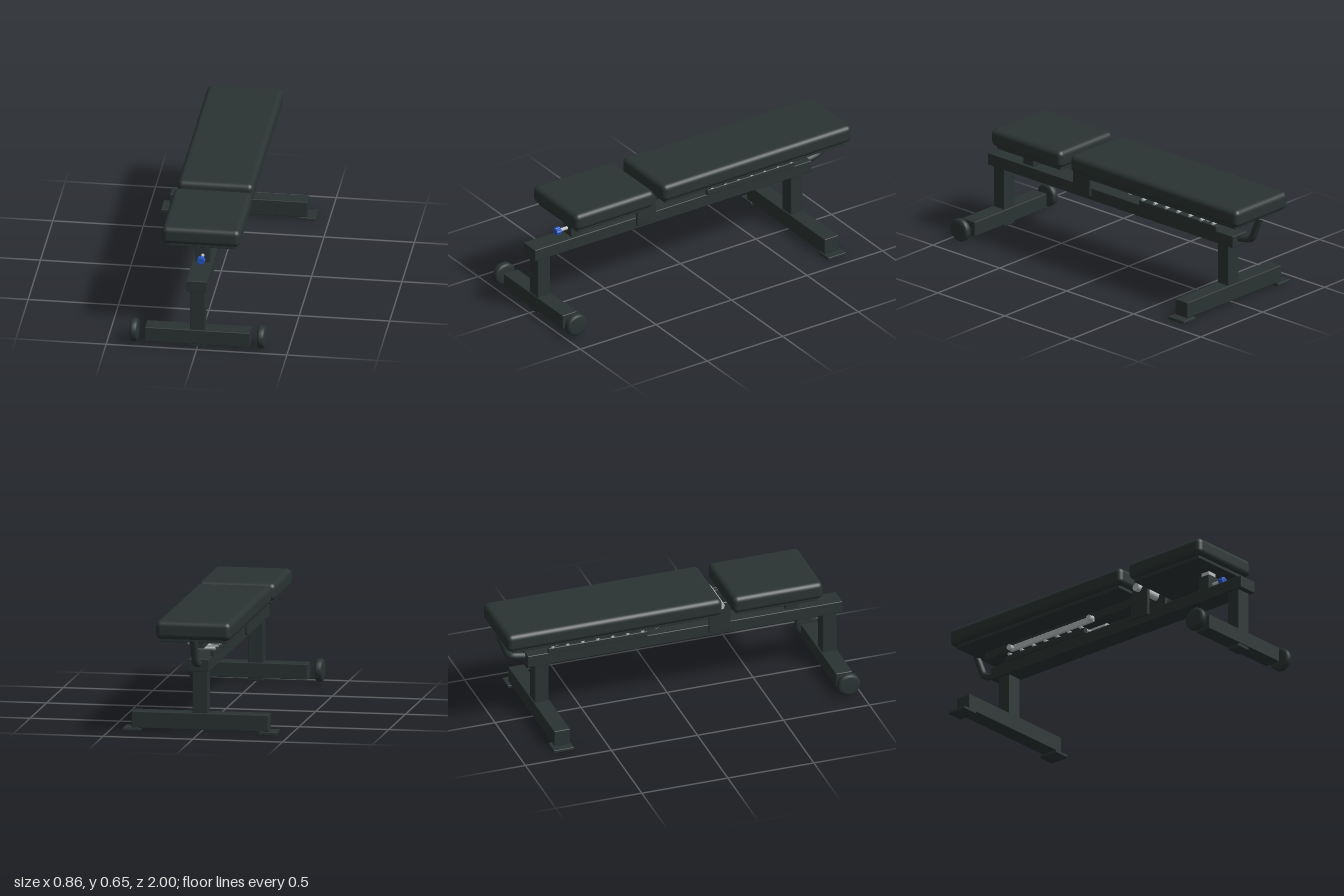
import * as THREE from 'three';
import { RoundedBoxGeometry } from 'three/addons/geometries/RoundedBoxGeometry.js';

export function createModel() {
  const root = new THREE.Group();
  root.name = 'weightBench';
  const material = (name, color) => {
    const m = new THREE.MeshStandardMaterial({ color });
    m.name = name;
    return m;
  };
  const charcoal = material('charcoal', 0x2b3433);
  const steel = material('steel', 0xb9bdc1);
  const blue = material('blue', 0x2458c4);

  const add = (name, geometry, mat, x = 0, y = 0, z = 0) => {
    const mesh = new THREE.Mesh(geometry, mat);
    mesh.name = name;
    mesh.position.set(x, y, z);
    root.add(mesh);
    return mesh;
  };
  // Box from its min and max on each axis, with rounded edges of radius r
  const box = (name, [x0, x1], [y0, y1], [z0, z1], mat = charcoal, r = 0.004) =>
    add(name, new RoundedBoxGeometry(x1 - x0, y1 - y0, z1 - z0, r > 0.01 ? 5 : 1, r), mat,
      (x0 + x1) / 2, (y0 + y1) / 2, (z0 + z1) / 2);
  // Cylinder lying along x or z
  const rod = (name, axis, r, length, mat, x, y, z, sides = 20) => {
    const g = new THREE.CylinderGeometry(r, r, length, sides);
    if (axis === 'x') g.rotateZ(Math.PI / 2);
    else g.rotateX(Math.PI / 2);
    return add(name, g, mat, x, y, z);
  };

  // Pads and their backing boards
  box('seatPad', [-0.217, 0.217], [0.548, 0.648], [0.31, 0.835], charcoal, 0.03);
  box('backPad', [-0.21, 0.21], [0.548, 0.65], [-1, 0.25], charcoal, 0.03);
  box('seatBoard', [-0.19, 0.19], [0.53, 0.55], [0.335, 0.81]);
  box('backBoard', [-0.185, 0.185], [0.53, 0.55], [-0.965, 0.225]);

  // Main frame
  box('mainBeam', [-0.057, 0.057], [0.345, 0.415], [-0.83, 1]);
  box('frontPost', [-0.042, 0.042], [0.002, 0.347], [0.89, 0.97]);
  box('frontCrossbar', [-0.29, 0.29], [0.02, 0.105], [0.88, 0.975]);
  box('rearPost', [-0.042, 0.042], [0.06, 0.347], [-0.783, -0.703]);
  box('rearCrossbar', [-0.38, 0.38], [0.016, 0.108], [-0.79, -0.697]);
  box('backRail', [-0.04, 0.04], [0.485, 0.532], [-0.885, 0.24]);

  // Hinge between seat and back
  rod('hingeTube', 'x', 0.022, 0.216, steel, 0, 0.549, 0.275);

  // Wheel profile, turned about its axle
  const wheelProfile = [[0, -0.022], [0.046, -0.022], [0.059, -0.018], [0.064, -0.011],
    [0.064, 0.011], [0.059, 0.018], [0.046, 0.022], [0, 0.022]]
    .map(([r, h]) => new THREE.Vector2(r, h));

  for (const s of [-1, 1]) {
    const span = (a, b) => (s > 0 ? [a, b] : [-b, -a]);
    const wheel = add('wheel', new THREE.LatheGeometry(wheelProfile, 32), charcoal, s * 0.352, 0.067, 0.93);
    wheel.rotation.z = Math.PI / 2;
    box('foot', span(0.332, 0.428), [0, 0.017], [-0.808, -0.69], charcoal, 0.003);
    box('hingePlate', span(0.066, 0.082), [0.375, 0.553], [0.215, 0.34]);
    box('hingeTab', span(0.062, 0.08), [0.528, 0.555], [0.275, 0.35]);
    // Adjustment bar with its end bolts, over the notched rack
    box('adjustmentBar', span(0.045, 0.062), [0.468, 0.503], [-0.68, -0.08], steel);
    for (const z of [-0.09, -0.67]) rod('barBolt', 'x', 0.016, 0.03, steel, s * 0.072, 0.485, z, 12);
    box('rack', span(0.045, 0.066), [0.413, 0.447], [-0.712, -0.135]);
  }
  for (let i = 0; i < 7; i++) {
    rod('rackPin', 'x', 0.009, 0.136, steel, 0, 0.455, -0.165 - i * 0.087, 10);
  }

  // Seat height post and its locking knob
  box('seatSocket', [-0.04, 0.04], [0.413, 0.505], [0.675, 0.75]);
  box('seatStem', [-0.029, 0.029], [0.49, 0.535], [0.685, 0.74], steel);
  rod('knobShaft', 'z', 0.01, 0.06, steel, 0, 0.455, 0.775, 12);
  const knob = new THREE.Shape();
  for (let i = 0; i <= 48; i++) {
    const a = (i / 48) * Math.PI * 2;
    const r = 0.018 + 0.0015 * Math.cos(a * 8);
    if (i) knob.lineTo(r * Math.cos(a), r * Math.sin(a));
    else knob.moveTo(r, 0);
  }
  add('knob', new THREE.ExtrudeGeometry(knob, {
    depth: 0.024, bevelThickness: 0.004, bevelSize: 0.003, bevelSegments: 2,
  }), blue, 0, 0.455, 0.802);

  // Bent support from the beam end up to the head of the back pad
  const bend = new THREE.CurvePath();
  const v = (y, z) => new THREE.Vector3(0, y, z);
  bend.add(new THREE.LineCurve3(v(0.388, -0.81), v(0.402, -0.89)));
  bend.add(new THREE.QuadraticBezierCurve3(v(0.402, -0.89), v(0.408, -0.922), v(0.437, -0.934)));
  bend.add(new THREE.LineCurve3(v(0.437, -0.934), v(0.55, -0.978)));
  add('headSupport', new THREE.TubeGeometry(bend, 32, 0.02, 14), charcoal);

  return root;
}
